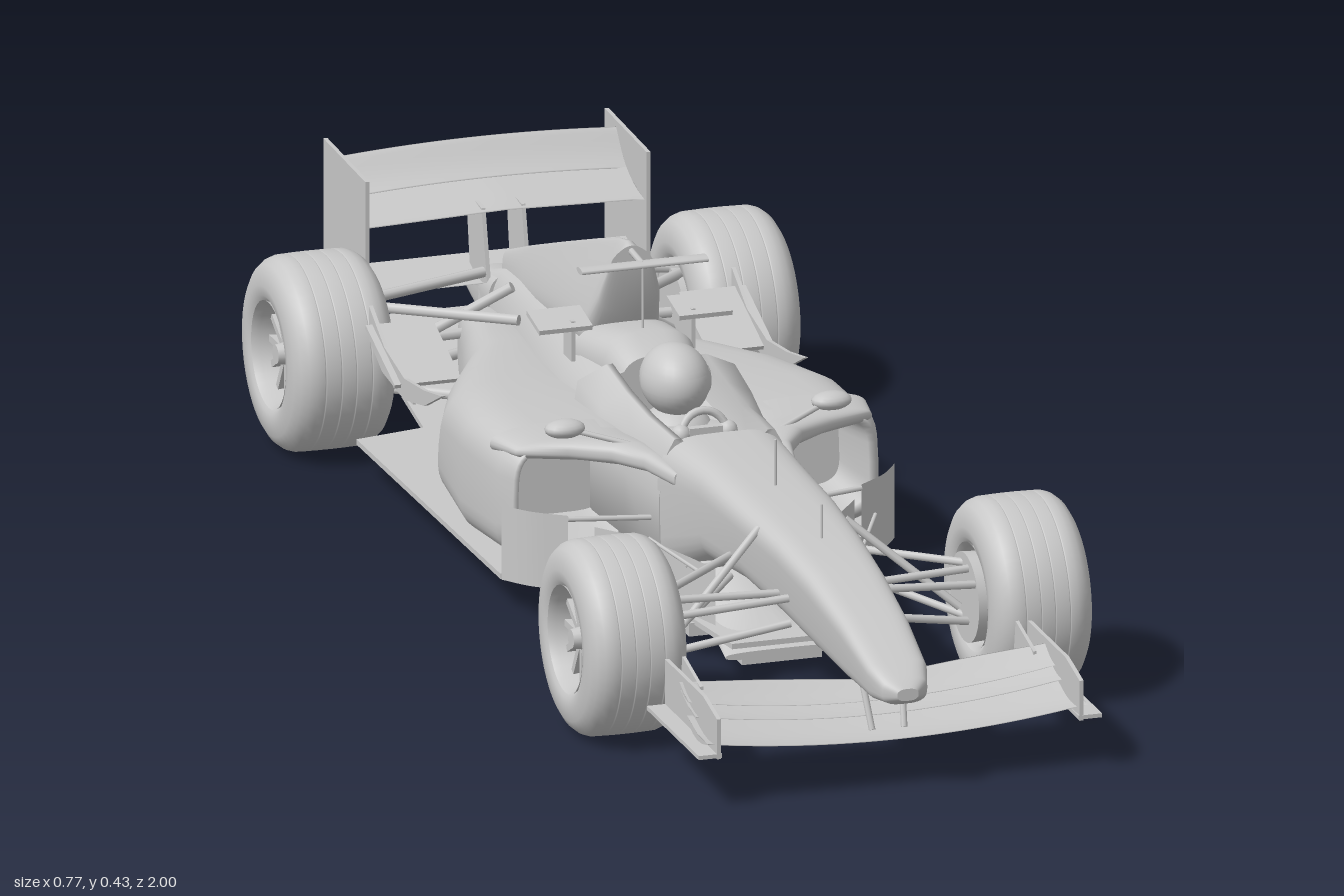
import * as THREE from 'three';

const grey = new THREE.MeshStandardMaterial({ color: 0xc8c8c8, side: THREE.DoubleSide });
grey.name = 'grey';

// Closed loft through rings of [x, y, z] points, with flat caps
function loft(rings) {
  const n = rings[0].length, pos = [], idx = [];
  rings.forEach(r => r.forEach(p => pos.push(...p)));
  for (let i = 0; i < rings.length - 1; i++) for (let j = 0; j < n; j++) {
    const a = i * n + j, b = i * n + (j + 1) % n, c = a + n, d = b + n;
    idx.push(a, c, b, b, c, d);
  }
  [rings[0], rings[rings.length - 1]].forEach((r, k) => {
    const s = pos.length / 3;
    r.forEach(p => pos.push(...p));
    pos.push(...[0, 1, 2].map(q => r.reduce((t, p) => t + p[q], 0) / n));
    for (let j = 0; j < n; j++) {
      const e = s + (j + 1) % n;
      if (k) idx.push(s + n, e, s + j); else idx.push(s + n, s + j, e);
    }
  });
  const g = new THREE.BufferGeometry();
  g.setAttribute('position', new THREE.Float32BufferAttribute(pos, 3));
  g.setIndex(idx);
  g.computeVertexNormals();
  return g;
}

// Rounded body ring: half width, bottom, top, squareness, top width ratio, centre x
function ring([z, w, y0, y1, p = 3, t = 1, cx = 0]) {
  const pow = v => Math.sign(v) * Math.abs(v) ** (2 / p);
  return Array.from({ length: 40 }, (_, i) => {
    const a = i / 40 * Math.PI * 2, v = (pow(Math.sin(a)) + 1) / 2;
    return [cx + w * pow(Math.cos(a)) * (1 + (t - 1) * v), y0 + (y1 - y0) * v, z];
  });
}
const body = sections => loft(sections.map(ring));

// Aerofoil across the car: f(u) gives [y, leading z, chord, pitch], u = |x| / half span
function wing(half, thick, f) {
  const rings = [];
  for (let i = 0; i <= 24; i++) {
    const x = half * (1 - i / 12), [y, z, chord, pitch] = f(Math.abs(x) / half);
    rings.push(Array.from({ length: 16 }, (_, j) => {
      const a = j / 16 * Math.PI * 2, c = (1 - Math.cos(a)) / 2, q = 1 - c;
      const h = Math.sin(a) * thick / 2 * (1.3 - c) - 0.1 * chord * Math.sin(Math.PI * c);
      return [x, y + q * chord * Math.sin(pitch) + h, z - q * chord * Math.cos(pitch)];
    }));
  }
  return loft(rings);
}

// Vertical sheet following [x, z] points between two heights
function sheet(pts, y0, y1) {
  const curve = new THREE.CatmullRomCurve3(pts.map(([x, z]) => new THREE.Vector3(x, 0, z)));
  const g = new THREE.PlaneGeometry(1, 1, 12, 1), p = g.attributes.position;
  for (let i = 0; i < p.count; i++) {
    const v = curve.getPoint(p.getX(i) + 0.5);
    p.setXYZ(i, v.x, p.getY(i) > 0 ? y1 : y0, v.z);
  }
  g.computeVertexNormals();
  return g;
}

// Side outline [z, y] extruded to a thin plate
function plate(pts, thick) {
  const s = new THREE.Shape(pts.map(([z, y]) => new THREE.Vector2(-z, y)));
  return new THREE.ExtrudeGeometry(s, { depth: thick, bevelEnabled: false }).translate(0, 0, -thick / 2).rotateY(Math.PI / 2);
}

export function createModel() {
  const model = new THREE.Group();
  const add = (name, geo, x = 0, y = 0, z = 0, parent = model) => {
    const m = new THREE.Mesh(geo, grey);
    m.name = name;
    m.position.set(x, y, z);
    parent.add(m);
    return m;
  };
  const box = (name, w, h, d, x, y, z) => add(name, new THREE.BoxGeometry(w, h, d), x, y, z);
  const rod = (name, a, b, r = 0.006) => {
    const A = new THREE.Vector3(...a), B = new THREE.Vector3(...b), D = B.clone().sub(A);
    const m = add(name, new THREE.CylinderGeometry(r, r, D.length(), 8));
    m.position.copy(A.add(B).multiplyScalar(0.5));
    m.quaternion.setFromUnitVectors(new THREE.Vector3(0, 1, 0), D.normalize());
  };

  // Nose and front chassis
  add('nose', body([[1, 0.016, 0.15, 0.168, 2.6], [0.985, 0.033, 0.141, 0.18, 3, 1.05], [0.95, 0.042, 0.138, 0.195, 4, 1.1],
    [0.85, 0.047, 0.138, 0.228, 4.5, 1.15], [0.72, 0.052, 0.142, 0.256, 4.5, 1.2], [0.6, 0.058, 0.15, 0.271, 4.5, 1.2],
    [0.45, 0.07, 0.155, 0.28, 4, 1.15], [0.3, 0.08, 0.14, 0.284, 4, 1.06], [0.16, 0.098, 0.07, 0.284, 4]]));
  // Open cockpit tub
  const tub = ([z, w, h]) => [[w, 0.06], [w, 0.2], [w - 0.012, h - 0.02], [0.075, h], [0.065, h], [0.06, 0.16],
    [-0.06, 0.16], [-0.065, h], [-0.075, h], [-w + 0.012, h - 0.02], [-w, 0.2], [-w, 0.06]].map(([x, y]) => [x, y, z]);
  add('cockpit', loft([[0.17, 0.098, 0.284], [0.05, 0.11, 0.28], [-0.05, 0.125, 0.285], [-0.14, 0.13, 0.297]].map(tub)));
  add('driverTorso', new THREE.SphereGeometry(0.06, 20, 12).scale(0.95, 0.8, 1), 0, 0.21, -0.05);
  add('helmet', new THREE.SphereGeometry(0.052, 28, 20).scale(0.95, 1, 1.2), 0, 0.295, -0.055);
  add('visor', new THREE.SphereGeometry(0.053, 20, 8, 0, Math.PI, 1.25, 0.5).scale(0.96, 1, 1.21), 0, 0.295, -0.055);
  add('steeringWheel', new THREE.TorusGeometry(0.034, 0.006, 8, 24), 0, 0.255, 0.08).rotation.x = -0.3;
  box('steeringHub', 0.05, 0.025, 0.012, 0, 0.255, 0.082);
  for (const s of [1, -1]) {
    rod('driverArm', [s * 0.05, 0.22, -0.04], [s * 0.036, 0.255, 0.075], 0.013);
    add('glove', new THREE.SphereGeometry(0.015, 12, 8), s * 0.035, 0.257, 0.078);
  }
  add('headrest', body([[-0.12, 0.06, 0.2, 0.31], [-0.17, 0.07, 0.2, 0.33], [-0.28, 0.08, 0.2, 0.31]]));

  // Engine cover and tall spine
  add('engineCover', body([[-0.12, 0.135, 0.07, 0.295, 3, 0.8], [-0.25, 0.145, 0.07, 0.292, 3, 0.7], [-0.4, 0.13, 0.07, 0.275, 3, 0.6],
    [-0.6, 0.09, 0.07, 0.25, 3, 0.5], [-0.78, 0.05, 0.08, 0.23, 3, 0.6], [-0.84, 0.035, 0.1, 0.21]]));
  add('spine', body([[-0.25, 0.04, 0.4, 0.432, 2.4, 0.35], [-0.262, 0.062, 0.33, 0.436, 2.4, 0.22], [-0.3, 0.08, 0.25, 0.428, 2.3, 0.14],
    [-0.4, 0.068, 0.24, 0.395, 2.3, 0.12], [-0.55, 0.046, 0.22, 0.342, 2.3, 0.14], [-0.7, 0.026, 0.2, 0.288, 2.3, 0.2], [-0.8, 0.012, 0.19, 0.25]]));
  add('cameraBar', new THREE.CylinderGeometry(0.012, 0.012, 0.19, 12).rotateZ(Math.PI / 2).scale(1, 0.4, 1.1), 0, 0.42, -0.2);
  rod('cameraStalk', [0, 0.32, -0.2], [0, 0.42, -0.2], 0.002);
  rod('cameraArm', [0, 0.42, -0.2], [0, 0.425, -0.27], 0.005);
  rod('antenna', [0, 0.28, 0.4], [0, 0.35, 0.4], 0.002);
  rod('noseSensor', [0, 0.265, 0.61], [0, 0.32, 0.61], 0.002);

  // Stepped floor
  const outline = [[0.075, 0.43], [0.1, 0.25], [0.11, 0.1], [0.16, 0.05], [0.29, 0.03], [0.297, -0.6], [0.19, -0.62], [0.17, -0.78]];
  const floorShape = new THREE.Shape([...outline, ...outline.map(([x, z]) => [-x, z]).reverse()].map(([x, z]) => new THREE.Vector2(x, -z)));
  add('floor', new THREE.ExtrudeGeometry(floorShape, { depth: 0.008, bevelEnabled: false }).rotateX(-Math.PI / 2), 0, 0.052, 0);
  box('floorStep', 0.2, 0.02, 0.98, 0, 0.045, -0.18);
  box('plank', 0.12, 0.009, 1.08, 0, 0.031, -0.11);
  add('splitter', body([[0.43, 0.085, 0.034, 0.046], [0.3, 0.095, 0.034, 0.085, 2.2, 0.4], [0.14, 0.1, 0.034, 0.16, 2.2, 0.7]]));

  // Wings
  add('frontWingMain', wing(0.285, 0.012, u => [0.078 + 0.022 * u ** 2, 0.955, 0.1, 0.12]));
  add('frontWingFlap', wing(0.28, 0.008, u => [0.093 + 0.025 * u ** 2, 0.885, 0.075, 0.25]));
  add('frontWingUpperFlap', wing(0.28, 0.005, u => [0.104 + 0.026 * u ** 2, 0.855, 0.05 + 0.012 * Math.sin(u * Math.PI), 0.35]));
  add('rearWingMain', wing(0.208, 0.014, u => [0.302 - 0.006 * u, -0.82, 0.11, 0.28]));
  add('rearWingFlap', wing(0.208, 0.01, u => [0.325 - 0.008 * u * u, -0.9, 0.068, 0.75]));
  add('rearWingLower', wing(0.208, 0.012, () => [0.195, -0.82, 0.09, 0.2]));

  // Rear crash structure and diffuser
  add('crashStructure', body([[-0.78, 0.04, 0.12, 0.22], [-0.9, 0.028, 0.14, 0.2], [-0.95, 0.022, 0.15, 0.185]]));
  box('diffuserRoof', 0.34, 0.006, 0.22, 0, 0.085, -0.84).rotation.x = 0.3;
  for (const [x, low] of [[-0.17, 0.058], [-0.09, 0.04], [0.09, 0.04], [0.17, 0.058]])
    add('diffuserFin', plate([[-0.72, low], [-0.955, low], [-0.955, 0.11], [-0.85, 0.1], [-0.72, 0.065]], 0.005), x);

  for (const s of [1, -1]) {
    // Sidepod with recessed inlet, and the shoulder sweeping into the chassis
    const pod = (z, inner, outer, y0, y1, p = 4, t = 0.95) => [z, (outer - inner) / 2, y0, y1, p, t, s * (outer + inner) / 2];
    add('sidepod', body([pod(-0.06, 0.1, 0.25, 0.11, 0.225), pod(0.03, 0.09, 0.265, 0.1, 0.24), pod(0.035, 0.085, 0.275, 0.09, 0.247),
      pod(0, 0.05, 0.29, 0.07, 0.254), pod(-0.15, 0.02, 0.294, 0.056, 0.25), pod(-0.3, 0.01, 0.28, 0.056, 0.235, 3.2, 0.9),
      pod(-0.42, 0, 0.235, 0.056, 0.22, 3, 0.85), pod(-0.55, 0, 0.165, 0.056, 0.205, 3, 0.8),
      pod(-0.68, 0, 0.12, 0.056, 0.19, 3, 0.8), pod(-0.8, 0, 0.08, 0.07, 0.17)]));
    add('shoulder', body([pod(0.22, 0.08, 0.092, 0.23, 0.25, 2.5), pod(0.14, 0.08, 0.112, 0.228, 0.255, 2.5),
      pod(0.09, 0.08, 0.145, 0.225, 0.257, 2.5), pod(0.055, 0.08, 0.2, 0.225, 0.256, 2.5),
      pod(0.03, 0.08, 0.27, 0.225, 0.255, 2.5), pod(-0.04, 0.08, 0.285, 0.21, 0.255, 2.5)]));
    // Flip-up ahead of the rear wheel
    box('sidepodFlip', 0.1, 0.006, 0.14, s * 0.235, 0.205, -0.53).rotation.x = 0.35;
    add('flipFence', plate([[-0.28, 0.225], [-0.36, 0.185], [-0.45, 0.165], [-0.55, 0.175], [-0.61, 0.205],
      [-0.61, 0.255], [-0.54, 0.215], [-0.45, 0.197], [-0.36, 0.208]], 0.006), s * 0.272);
    // Winglets beside the spine
    box('winglet', 0.08, 0.007, 0.06, s * 0.105, 0.328, -0.26).rotation.x = 0.2;
    box('wingletStalk', 0.006, 0.06, 0.035, s * 0.09, 0.3, -0.26);
    // Mirrors
    add('mirror', new THREE.SphereGeometry(0.03, 16, 10).scale(1, 0.45, 0.7), s * 0.2, 0.275, 0.05);
    rod('mirrorStalk', [s * 0.1, 0.25, 0.09], [s * 0.19, 0.272, 0.05], 0.004);
    // Bargeboards and turning vanes
    add('bargeboard', sheet([[s * 0.09, 0.4], [s * 0.115, 0.32], [s * 0.145, 0.24], [s * 0.195, 0.17]], 0.08, 0.165));
    add('turningVane', sheet([[s * 0.22, 0.125], [s * 0.265, 0.09], [s * 0.295, 0.05]], 0.058, 0.17));
    rod('vaneBrace', [s * 0.1, 0.16, 0.14], [s * 0.22, 0.165, 0.125], 0.004);
    rod('bargeboardBrace', [s * 0.08, 0.16, 0.36], [s * 0.11, 0.15, 0.33], 0.004);
    rod('shortFin', [s * 0.12, 0.17, 0.42], [s * 0.17, 0.2, 0.34], 0.003);
    // Wing endplates and supports
    add('frontEndplate', plate([[0.965, 0.08], [0.965, 0.14], [0.9, 0.155], [0.73, 0.155], [0.73, 0.085]], 0.006), s * 0.272);
    box('frontFootplate', 0.035, 0.006, 0.235, s * 0.285, 0.085, 0.848);
    add('frontInnerFin', plate([[0.82, 0.09], [0.82, 0.14], [0.74, 0.16], [0.73, 0.1]], 0.005), s * 0.25);
    rod('frontWingSupport', [s * 0.024, 0.08, 0.91], [s * 0.03, 0.15, 0.88], 0.005);
    add('rearEndplate', plate([[-0.81, 0.2], [-0.81, 0.37], [-1, 0.375], [-1, 0.165], [-0.84, 0.165]], 0.006), s * 0.211);
    add('rearWingSupport', plate([[-0.8, 0.18], [-0.83, 0.305], [-0.9, 0.31], [-0.88, 0.18]], 0.006), s * 0.03);

    // Front suspension
    for (const [a, b] of [[[0.06, 0.19, 0.6], [0.23, 0.195, 0.595]], [[0.075, 0.19, 0.42], [0.23, 0.195, 0.57]],
      [[0.05, 0.15, 0.62], [0.23, 0.115, 0.595]], [[0.075, 0.16, 0.42], [0.23, 0.115, 0.57]],
      [[0.065, 0.262, 0.52], [0.215, 0.135, 0.585]], [[0.06, 0.195, 0.64], [0.23, 0.18, 0.625]]])
      rod('frontArm', [s * a[0], a[1], a[2]], [s * b[0], b[1], b[2]], 0.006);
    // Rear suspension and drive shaft
    for (const [a, b] of [[[0.06, 0.22, -0.58], [0.24, 0.21, -0.74]], [[0.04, 0.22, -0.8], [0.24, 0.21, -0.76]],
      [[0.07, 0.1, -0.58], [0.24, 0.09, -0.74]], [[0.04, 0.1, -0.82], [0.24, 0.09, -0.76]],
      [[0.05, 0.25, -0.64], [0.23, 0.12, -0.74]], [[0.03, 0.15, -0.75], [0.25, 0.147, -0.75]]])
      rod('rearArm', [s * a[0], a[1], a[2]], [s * b[0], b[1], b[2]], 0.008);

    // Finely grooved tyres, rims, spokes and brake drums
    for (const [name, z, hw] of [['front', 0.58, 0.075], ['rear', -0.75, 0.079]]) {
      const wheel = new THREE.Group();
      wheel.name = name + 'Wheel';
      wheel.position.set(s * 0.304, 0.147, z);
      wheel.scale.x = s;
      model.add(wheel);
      const half = [[0.078, 0.9], [0.086, 0.98], [0.1, 1], [0.118, 0.96], [0.13, 0.87], [0.138, 0.74], [0.1415, 0.6], [0.142, 0.46],
        [0.1405, 0.45], [0.1405, 0.43], [0.142, 0.42], [0.1425, 0.16], [0.141, 0.15], [0.141, 0.13], [0.1425, 0.12]];
      const prof = [...half.map(([r, x]) => [r, -x]), ...half.slice().reverse()].map(([r, x]) => new THREE.Vector2(r, x * hw));
      const lathe = (pts, n) => new THREE.LatheGeometry(pts, n).rotateZ(-Math.PI / 2);
      add('tyre', lathe(prof, 48), 0, 0, 0, wheel);
      const rim = [[0.079, -0.95], [0.072, -0.85], [0.068, 0.3], [0.074, 0.8], [0.079, 0.95]].map(([r, x]) => new THREE.Vector2(r, x * hw));
      add('rim', lathe(rim, 36), 0, 0, 0, wheel);
      add('brakeDrum', new THREE.CylinderGeometry(0.066, 0.06, 0.09, 28).rotateZ(Math.PI / 2), -0.035, 0, 0, wheel);
      add('hub', new THREE.CylinderGeometry(0.014, 0.022, 0.05, 16).rotateZ(-Math.PI / 2), hw * 0.5, 0, 0, wheel);
      for (let i = 0; i < 12; i++) {
        const spoke = add('spoke', new THREE.BoxGeometry(0.014, 0.06, 0.01).translate(0, 0.042, 0), hw * 0.55, 0, 0, wheel);
        spoke.rotation.x = i * Math.PI / 6;
      }
    }
  }
  return model;
}
